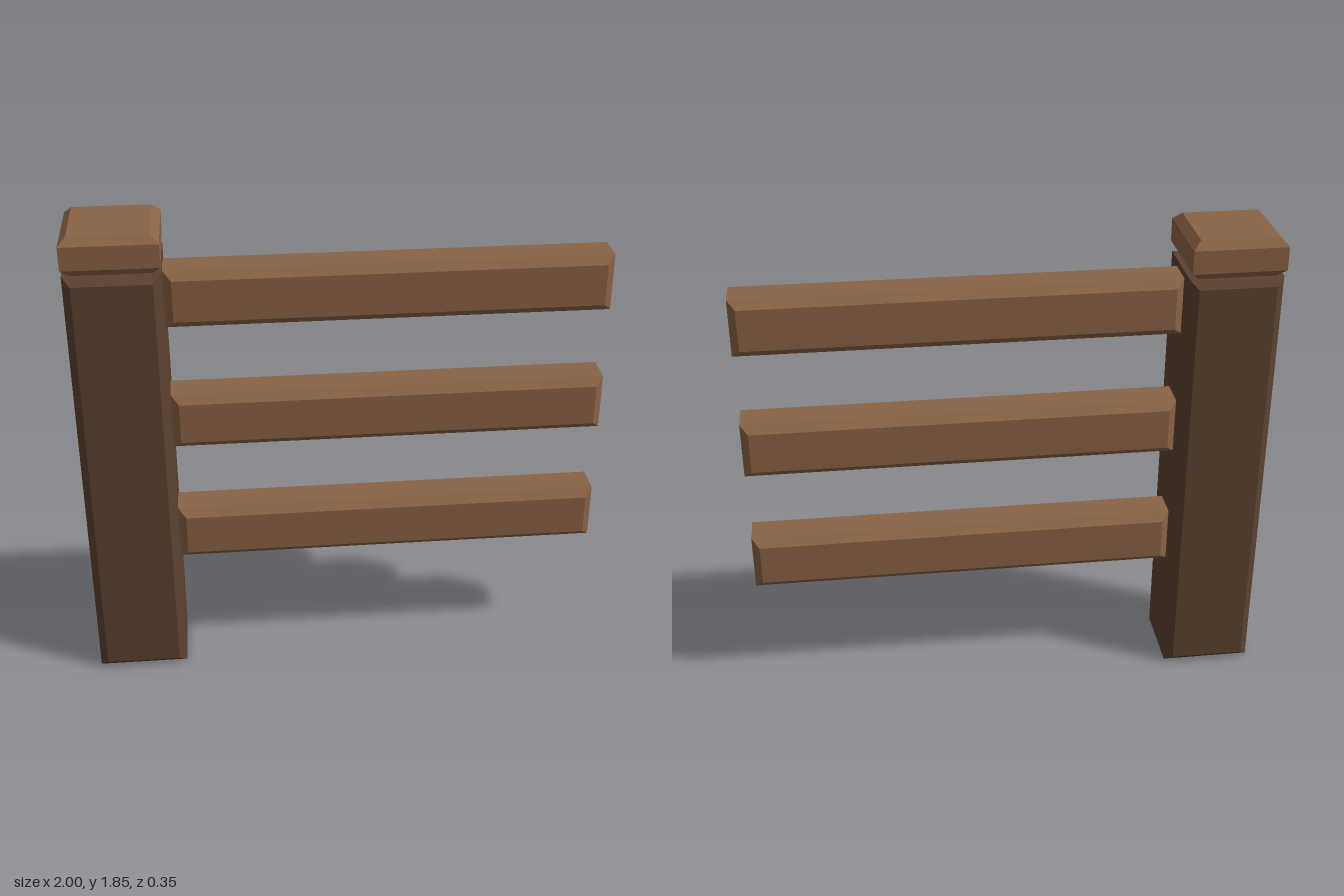
import * as THREE from 'three';

const BEVEL = 0.03;

// Rectangular block along z whose two end faces are chamfered all round, centred on the origin
function beveledBlock(width, height, depth) {
  const w = width / 2, h = height / 2;
  const shape = new THREE.Shape();
  shape.moveTo(-w, -h).lineTo(w, -h).lineTo(w, h).lineTo(-w, h).closePath();
  const geometry = new THREE.ExtrudeGeometry(shape, {
    depth: depth - 2 * BEVEL,
    bevelEnabled: true,
    bevelSegments: 1,
    bevelSize: BEVEL,
    bevelThickness: BEVEL,
    bevelOffset: -BEVEL,
  });
  return geometry.translate(0, 0, -depth / 2 + BEVEL);
}

export function createModel() {
  const model = new THREE.Group();
  model.name = 'fenceSection';

  const darkWood = new THREE.MeshStandardMaterial({ color: 0x5c4230 });
  darkWood.name = 'darkWood';
  const lightWood = new THREE.MeshStandardMaterial({ color: 0x8a6345 });
  lightWood.name = 'lightWood';

  const add = (name, geometry, material, x, y) => {
    const mesh = new THREE.Mesh(geometry, material);
    mesh.name = name;
    mesh.position.set(x, y, 0);
    model.add(mesh);
  };

  // Upright post, chamfered towards front and back
  const postX = -0.826;
  add('post', beveledBlock(0.348, 1.702, 0.348), darkWood, postX, 0.851);

  // Cap, chamfered at top and bottom
  const cap = beveledBlock(0.348, 0.348, 0.148).rotateX(-Math.PI / 2);
  add('postCap', cap, lightWood, postX, 1.778);

  // Three rails running out from the post
  const rail = beveledBlock(1.652, 0.22, 0.18);
  [0.565, 1.065, 1.565].forEach((y, i) => add(`rail${i + 1}`, rail, lightWood, 0.174, y));

  return model;
}
